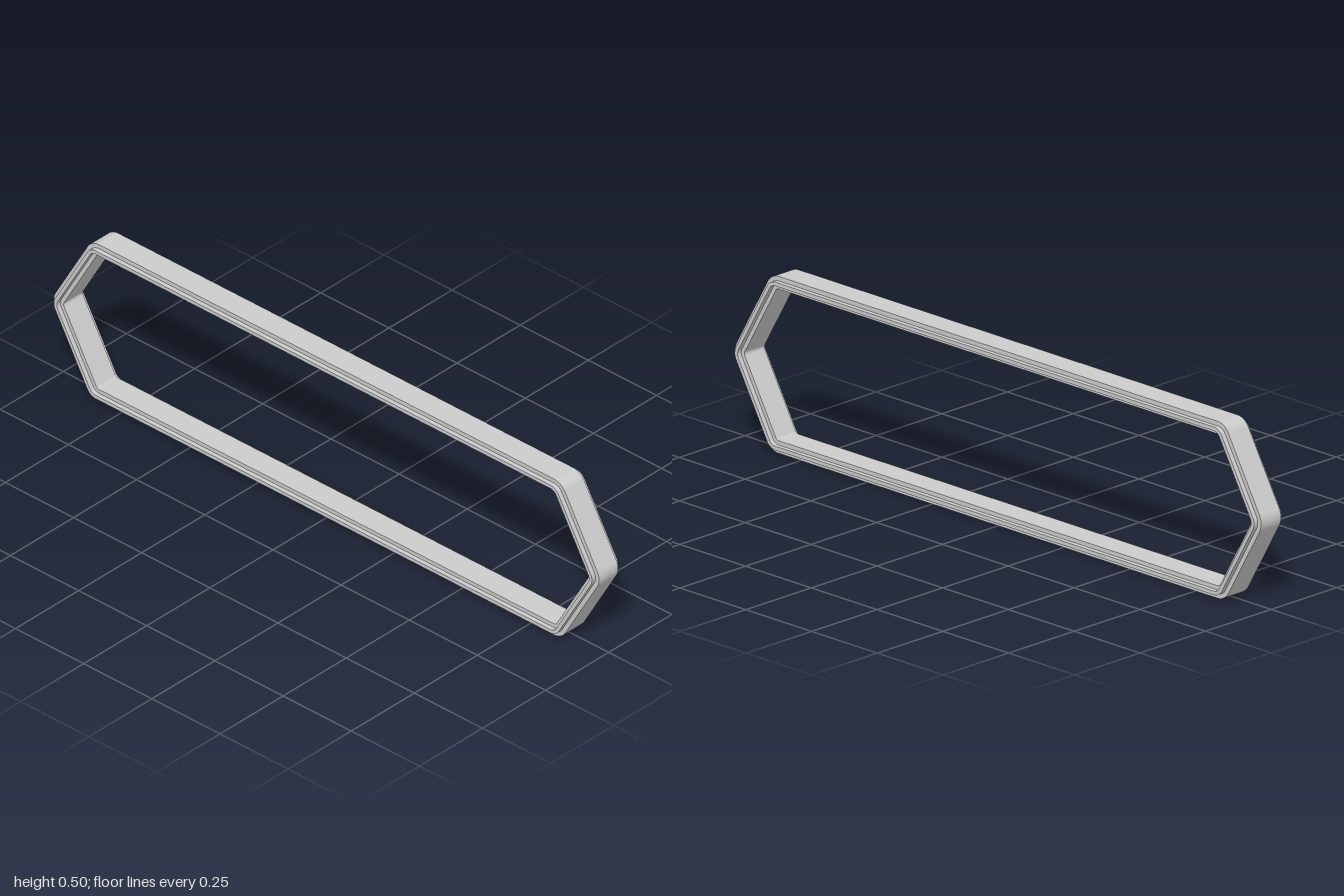
import * as THREE from 'three';

const R = 0.048;          // outer corner radius
const MID_Y = 0.2525;     // height of the two pointed ends
const ARC_STEPS = 10;     // segments per rounded corner

// Path stations around the long hexagon: corner centre plus outward direction.
function hexagonStations() {
  const tipZ = 1 - R;
  const rise = MID_Y - R;
  const cornerZ = tipZ - rise / Math.sqrt(3);
  const centres = [
    [tipZ, 0], [cornerZ, rise], [-cornerZ, rise],
    [-tipZ, 0], [-cornerZ, -rise], [cornerZ, -rise],
  ];
  const stations = [];
  centres.forEach(([z, y], k) => {
    for (let s = 0; s <= ARC_STEPS; s++) {
      const a = (k - 0.5 + s / ARC_STEPS) * Math.PI / 3;
      stations.push({ z, y: y + MID_Y, nz: Math.cos(a), ny: Math.sin(a) });
    }
  });
  return stations;
}

// Sweep a closed [x, radius] section round the stations: crisp along the
// section's edges, smooth around the corners.
function sweepRing(section, stations) {
  const positions = [], normals = [], indices = [];
  const n = stations.length;
  section.forEach(([x1, r1], e) => {
    const [x2, r2] = section[(e + 1) % section.length];
    const length = Math.hypot(x2 - x1, r2 - r1);
    const nx = (r2 - r1) / length, nr = -(x2 - x1) / length;
    const base = positions.length / 3;
    stations.forEach((p, i) => {
      for (const [x, r] of [[x1, r1], [x2, r2]]) {
        positions.push(x, p.y + p.ny * r, p.z + p.nz * r);
        normals.push(nx, nr * p.ny, nr * p.nz);
      }
      const a = base + 2 * i, c = base + 2 * ((i + 1) % n);
      indices.push(a, c, a + 1, c, c + 1, a + 1);
    });
  });
  const geometry = new THREE.BufferGeometry();
  geometry.setAttribute('position', new THREE.Float32BufferAttribute(positions, 3));
  geometry.setAttribute('normal', new THREE.Float32BufferAttribute(normals, 3));
  geometry.setIndex(indices);
  return geometry;
}

export function createModel() {
  const group = new THREE.Group();
  group.name = 'hexagonalRing';

  // Stepped section: narrow outer band, wider middle band, narrow inner band
  const half = [
    [0.038, R - 0.036], [0.038, R - 0.024],
    [0.052, R - 0.024], [0.052, R - 0.013],
    [0.038, R - 0.013], [0.038, R],
  ];
  const mirrored = half.map(([x, r]) => [-x, r]).reverse();
  const section = [...half, ...mirrored];

  const ring = new THREE.Mesh(
    sweepRing(section, hexagonStations()),
    new THREE.MeshStandardMaterial({ color: 0xcccccc }),
  );
  ring.name = 'steppedFrame';
  group.add(ring);
  return group;
}
